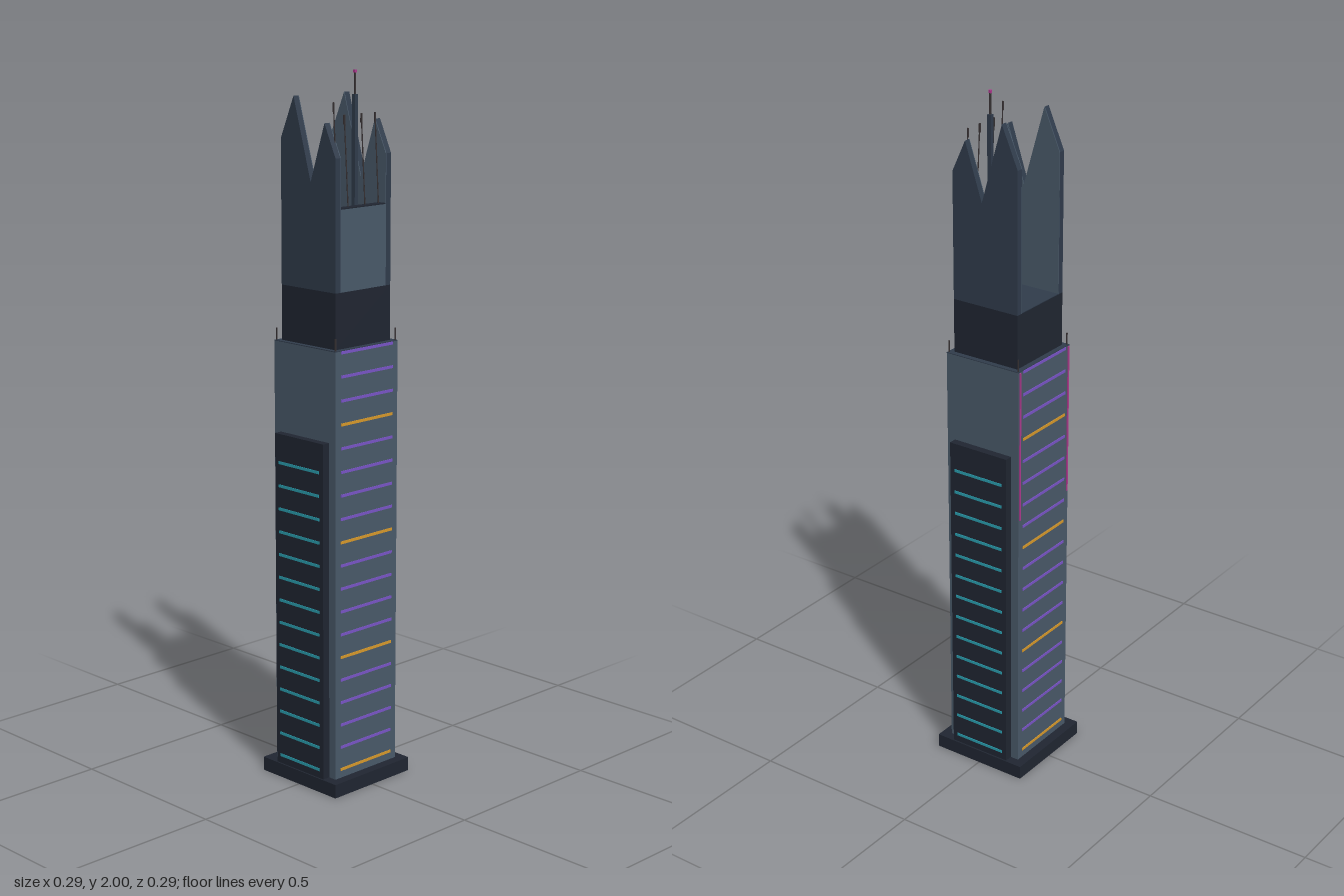
import * as THREE from 'three';

const mat = (color) => new THREE.MeshStandardMaterial({ color });

export function createModel() {
  const tower = new THREE.Group();
  tower.name = 'tower';
  const dark = mat(0x202632), mid = mat(0x303c4c), light = mat(0x4a5a6a);
  const purple = mat(0x7a55c8), amber = mat(0xd89a2b), cyan = mat(0x2a9fb0);
  const pink = mat(0xb03a90), rust = mat(0x7a3038), metal = mat(0x3a3436);

  const add = (name, geometry, material, x = 0, y = 0, z = 0) => {
    const mesh = new THREE.Mesh(geometry, material);
    mesh.name = name;
    mesh.position.set(x, y, z);
    tower.add(mesh);
    return mesh;
  };
  // Box centred on x and z, spanning y0 to y1
  const block = (name, material, w, y0, y1, d, x = 0, z = 0) =>
    add(name, new THREE.BoxGeometry(w, y1 - y0, d), material, x, (y0 + y1) / 2, z);

  // Main masses
  block('base', dark, 0.295, 0, 0.04, 0.295);
  block('shaft', light, 0.24, 0.04, 1.264, 0.24);
  block('shaftRoof', mid, 0.24, 1.264, 1.266, 0.24);
  block('neck', dark, 0.21, 1.266, 1.42, 0.21);
  block('crownFloor', mid, 0.17, 1.42, 1.422, 0.185, 0, -0.0125);
  for (const s of [-1, 1]) block('sideWing', dark, 0.024, 0.04, 1.01, 0.19, s * 0.131);

  // Window strips: every fifth one is amber on the front and back
  const step = 0.0664;
  for (let i = 0; i < 19; i++) {
    const y = 0.065 + i * step;
    for (const s of [-1, 1]) {
      block('windowStrip', i % 5 ? purple : amber, 0.2, y - 0.004, y + 0.004, 0.003, 0, s * 0.1205);
      if (i < 14) block('sideWindowStrip', cyan, 0.003, y - 0.004, y + 0.004, 0.16, s * 0.1435);
    }
  }

  // Lit lines down the back corners, and short spikes on the roof corners
  for (const sx of [-1, 1]) {
    block('cornerLight', pink, 0.005, 0.82, 1.262, 0.004, sx * 0.114, -0.121);
    for (const sz of [-1, 1]) block('cornerSpike', metal, 0.003, 1.266, 1.3, 0.003, sx * 0.115, sz * 0.115);
  }

  // Crown: jagged side walls with a lighter lining, low front wall, open back
  const jagged = new THREE.Shape([
    [-0.105, 1.42], [0.105, 1.42], [0.105, 1.78], [0.063, 1.87],
    [0.01, 1.71], [-0.055, 1.935], [-0.105, 1.82],
  ].map(([z, y]) => new THREE.Vector2(z, y)));
  const slab = (depth) =>
    new THREE.ExtrudeGeometry(jagged, { depth, bevelEnabled: false })
      .translate(0, 0, -depth / 2).rotateY(-Math.PI / 2);
  for (const s of [-1, 1]) {
    add('crownSideWall', slab(0.018), mid, s * 0.096);
    add('crownLining', slab(0.002), light, s * 0.086);
  }
  block('crownFrontWall', light, 0.17, 1.42, 1.643, 0.025, 0, 0.0925);
  block('frontWallCoping', dark, 0.17, 1.643, 1.646, 0.025, 0, 0.0925);

  // Slanted rails across the inside of the crown
  for (const y of [1.43, 1.51, 1.59]) {
    const rail = block('innerRail', rust, 0.177, y - 0.003, y + 0.003, 0.006, 0, 0.015);
    rail.rotation.y = Math.atan2(0.05, 0.17);
  }

  // Central mast
  block('mast', mid, 0.012, 1.42, 1.935, 0.012, 0.052, 0.02);
  block('mastNeedle', metal, 0.004, 1.935, 1.992, 0.004, 0.052, 0.02);
  block('mastTip', pink, 0.007, 1.992, 2, 0.007, 0.052, 0.02);

  // Thin leaning antennas on the front wall
  for (const [x, top] of [[-0.083, 1.925], [-0.043, 1.89], [0.021, 1.89], [0.073, 1.89]]) {
    const foot = new THREE.Vector3(x, 1.64, 0.09);
    const tip = new THREE.Vector3(x - 0.008, top, 0.083);
    add('antenna', new THREE.TubeGeometry(new THREE.LineCurve3(foot, tip), 1, 0.0018, 5), metal);
    block('antennaTip', metal, 0.004, top - 0.025, top, 0.004, tip.x, tip.z);
  }
  return tower;
}
